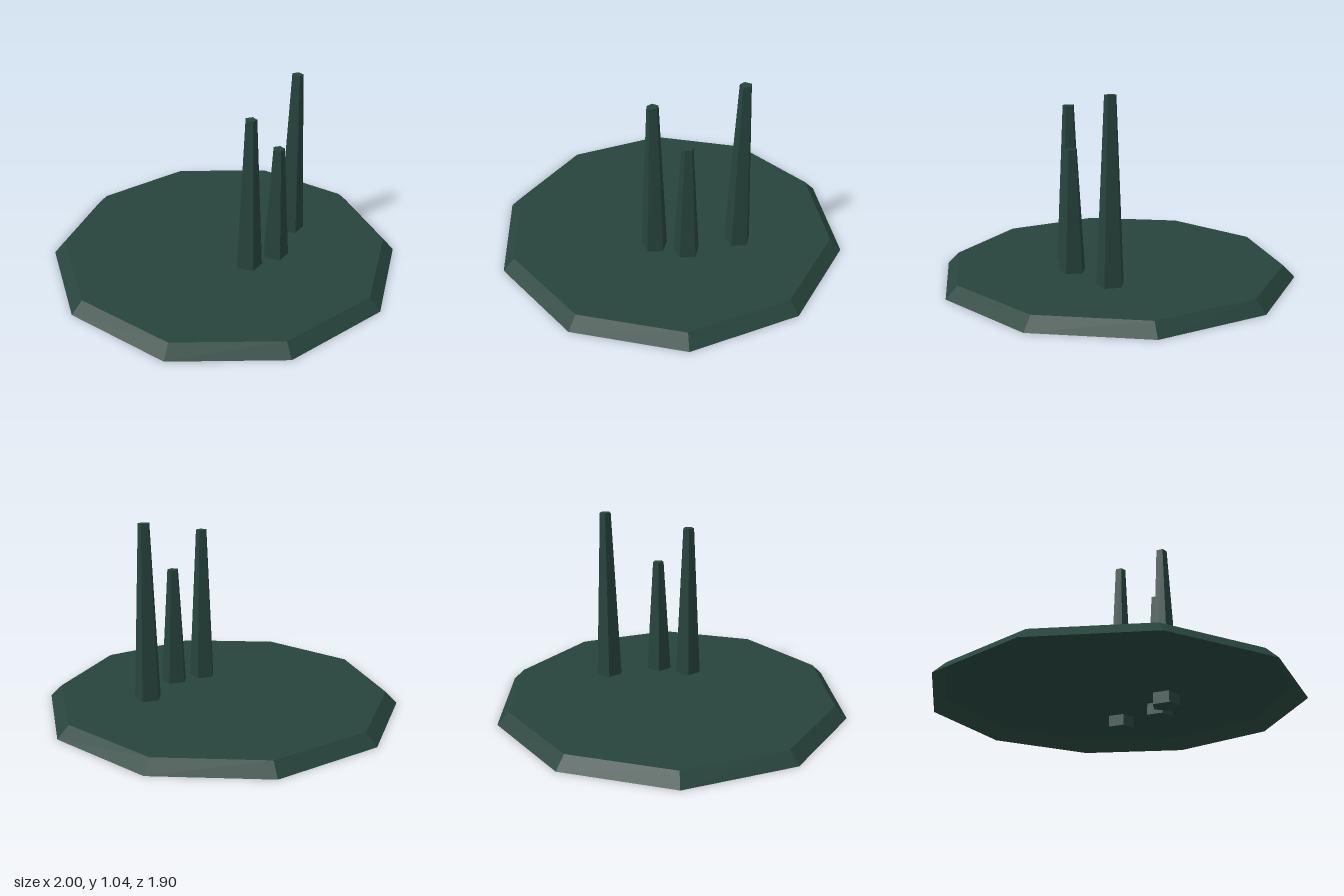
import * as THREE from 'three';

export function createModel() {
  const model = new THREE.Group();
  const darkGreen = new THREE.MeshStandardMaterial({
    color: 0x27443c, flatShading: true, side: THREE.DoubleSide,
  });
  darkGreen.name = 'darkGreen';

  // Sloped ten-sided ground plate, hollow underneath
  const height = 0.065, topRadius = 0.935;
  const skirt = new THREE.Mesh(
    new THREE.CylinderGeometry(topRadius, 1, height, 10, 1, true, Math.PI / 2), darkGreen);
  skirt.name = 'groundSkirt';
  skirt.position.y = height / 2;
  const top = new THREE.Mesh(new THREE.CircleGeometry(topRadius, 10), darkGreen);
  top.name = 'groundTop';
  top.rotation.x = -Math.PI / 2;
  top.position.y = height;
  model.add(skirt, top);

  // Tapered five-sided trunks, reaching down through the plate: x, z, height
  const trunks = [
    [0.13, 0.23, 0.949],
    [0.287, 0.13, 0.735],
    [0.402, -0.157, 1.045],
  ];
  trunks.forEach(([x, z, h], i) => {
    const trunk = new THREE.Mesh(
      new THREE.CylinderGeometry(0.0325, 0.079, h, 5, 1, false, Math.PI / 2), darkGreen);
    trunk.name = `trunk${i + 1}`;
    trunk.position.set(x, h / 2, z);
    model.add(trunk);
  });

  return model;
}
